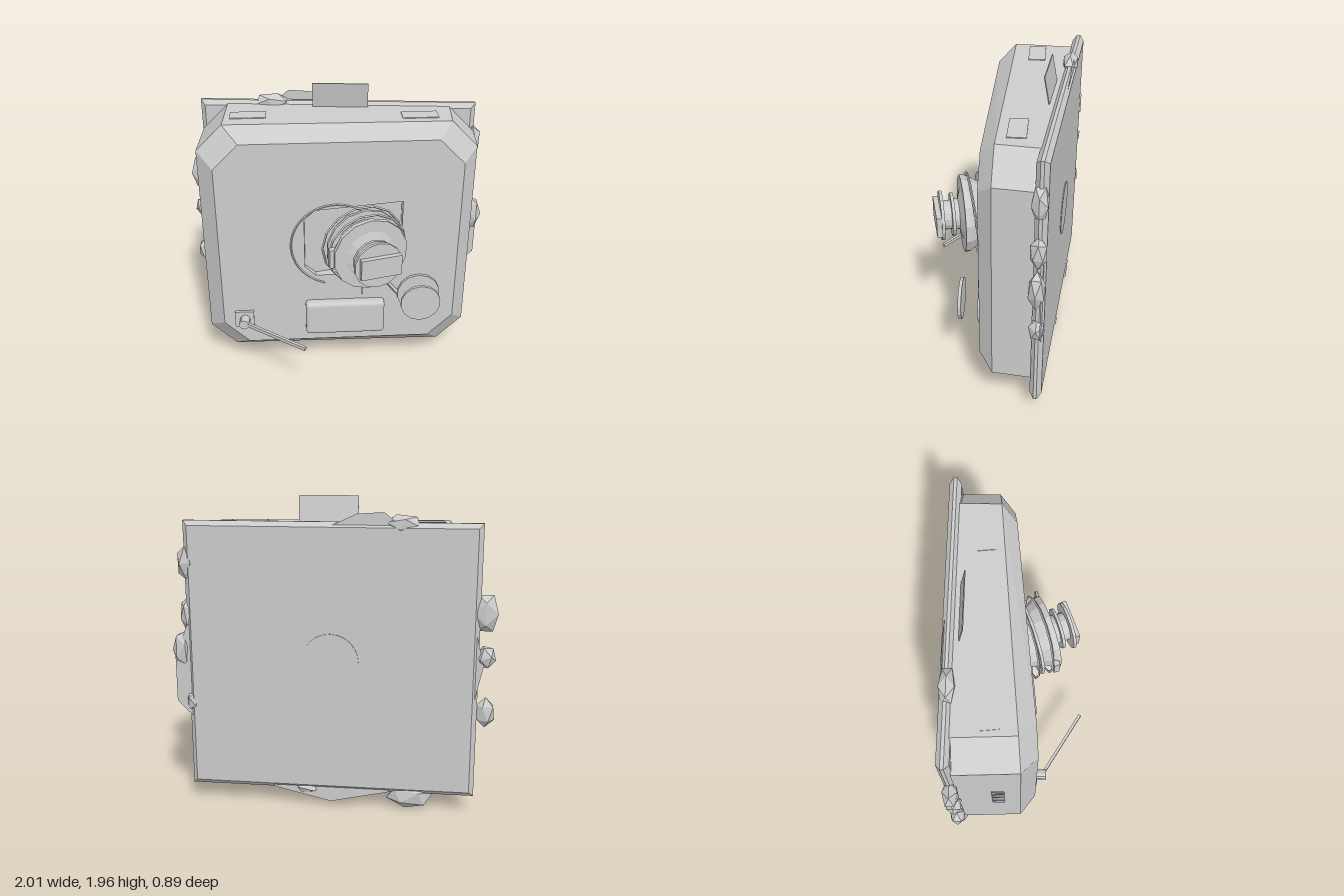
import * as THREE from 'three';
import { RoundedBoxGeometry } from 'three/addons/geometries/RoundedBoxGeometry.js';

export function createModel() {
  const root = new THREE.Group();
  const grey = new THREE.MeshStandardMaterial({ color: 0xcccccc, flatShading: true, side: THREE.DoubleSide });
  grey.name = 'plain grey';
  const add = (name, geo, pos = [0, 0, 0], rot = [0, 0, 0], parent = root) => {
    const m = new THREE.Mesh(geo, grey);
    m.name = name;
    m.position.set(...pos);
    m.rotation.set(...rot);
    parent.add(m);
    return m;
  };
  const V = (x, y, z) => new THREE.Vector3(x, y, z);
  const TILT = 0.1; // turn of the sloping front
  const frontZ = x => 0.12 - 0.1 * (x + 0.76);
  const rimZ = x => 0.02 - 0.085 * (x + 0.87);
  const floorZ = x => 0.04 - 0.34 * (x + 0.2);
  const backZ = () => -0.37;

  // Octagon with cut corners, counter-clockwise from the front
  const octagon = (x0, x1, y0, y1, c) => [
    [x0 + c, y0], [x1 - c, y0], [x1, y0 + c], [x1, y1 - c],
    [x1 - c, y1], [x0 + c, y1], [x0, y1 - c], [x0, y0 + c]];
  // Wall between two matching outlines
  const wall = (a, za, b, zb) => {
    const p = [];
    a.forEach((_, i) => {
      const j = (i + 1) % a.length;
      const A = [...a[i], za(a[i][0])], B = [...a[j], za(a[j][0])];
      const C = [...b[j], zb(b[j][0])], D = [...b[i], zb(b[i][0])];
      p.push(...A, ...B, ...C, ...A, ...C, ...D);
    });
    const g = new THREE.BufferGeometry();
    g.setAttribute('position', new THREE.Float32BufferAttribute(p, 3));
    g.computeVertexNormals();
    return g;
  };
  // Flat panel whose depth follows a rule
  const panel = (outline, zf, hole) => {
    const toV = o => o.map(q => new THREE.Vector2(...q));
    const s = new THREE.Shape(toV(outline));
    if (hole) s.holes.push(new THREE.Path(toV(hole)));
    const g = new THREE.ShapeGeometry(s), p = g.attributes.position;
    for (let i = 0; i < p.count; i++) p.setZ(i, zf(p.getX(i)));
    g.computeVertexNormals();
    return g;
  };

  // Back plate with bevelled edge
  const plate = new THREE.Shape([[-0.87, 0.13], [0.87, 0.13], [0.87, 1.77], [-0.87, 1.77]].map(q => new THREE.Vector2(...q)));
  add('backPlate', new THREE.ExtrudeGeometry(plate, { depth: 0.02, bevelSize: 0.03, bevelThickness: 0.027, bevelSegments: 1 }), [0, 0, -0.41]);
  add('backDisc', new THREE.CylinderGeometry(0.175, 0.175, 0.008, 24), [0, 0.95, -0.439], [Math.PI / 2, 0, 0]);

  // Housing
  const back = octagon(-0.89, 0.9, 0.11, 1.78, 0.17);
  const rim = octagon(-0.875, 0.9, 0.11, 1.78, 0.17);
  const face = octagon(-0.76, 0.82, 0.2, 1.69, 0.165);
  const recess = [[-0.2, 0.8], [-0.13, 0.73], [0.37, 0.73], [0.44, 0.8], [0.44, 1.27], [-0.13, 1.22], [-0.2, 1.15]];
  add('housingSides', wall(back, backZ, rim, rimZ));
  add('housingBevel', wall(rim, rimZ, face, frontZ));
  add('housingFront', panel(face, frontZ, recess));
  add('recessWalls', wall(recess, frontZ, recess, floorZ));
  add('recessFloor', panel(recess, floorZ));

  // Turned knob on a slanting axis
  const knob = new THREE.Group();
  knob.name = 'knob';
  knob.position.set(0.235, 0.98, 0.185);
  knob.rotation.y = 0.35;
  root.add(knob);
  const profile = [[0, -0.24], [0.19, -0.24], [0.2, -0.13], [0.26, -0.13], [0.26, -0.11], [0.2, -0.11], [0.25, -0.02],
    [0.25, 0.01], [0.17, 0.01], [0.1, 0.03], [0.1, 0.06], [0.14, 0.06], [0.14, 0.08], [0.095, 0.08], [0.095, 0.13],
    [0.16, 0.13], [0.16, 0.15], [0, 0.15]].map(q => new THREE.Vector2(...q));
  add('knobBody', new THREE.LatheGeometry(profile, 14), [0, 0, 0], [Math.PI / 2, 0, 0], knob);
  add('knobGrip', new THREE.BoxGeometry(0.27, 0.14, 0.035), [0.01, 0, 0.165], [0, 0, 0], knob);
  add('knobTab', new THREE.BoxGeometry(0.06, 0.13, 0.04), [-0.24, 0, -0.03], [0, 0, 0], knob);
  for (const [r, t] of [[0.275, -0.16], [0.265, -0.06]])
    add('knobHoop', new THREE.TorusGeometry(r, 0.008, 4, 14), [0, 0, t], [0.08, 0, 0], knob);

  // Thin open ring lying on the front
  add('frontRing', new THREE.TorusGeometry(0.3, 0.006, 4, 28, 3.5), [0.01, 0.96, frontZ(0)], [0, TILT, 0.95]);

  // Side dials and their arm
  const dial = (r, z, x) => add('dial', new THREE.CylinderGeometry(r, r, 0.02, 14), [x, 0.57, z], [Math.PI / 2, 0, -TILT]);
  dial(0.145, 0.0, 0.57);
  dial(0.135, 0.125, 0.58);
  const arm = new THREE.CatmullRomCurve3([V(0.26, 0.8, 0.04), V(0.33, 0.7, 0.03), V(0.43, 0.57, 0.01)]);
  add('dialArm', new THREE.TubeGeometry(arm, 6, 0.014, 4));
  add('pin', new THREE.BoxGeometry(0.012, 0.08, 0.02), [0.185, 0.62, 0.04]);

  // Display window
  add('display', new RoundedBoxGeometry(0.54, 0.25, 0.09, 3, 0.025), [0.07, 0.405, 0.055], [0, TILT, 0]);

  // Lever
  add('leverPlate', new THREE.BoxGeometry(0.13, 0.12, 0.02), [-0.62, 0.4, 0.115], [0, TILT, 0]);
  add('leverHub', new THREE.CylinderGeometry(0.035, 0.035, 0.08, 10), [-0.615, 0.4, 0.155], [Math.PI / 2, 0, 0]);
  add('leverRod', new THREE.BoxGeometry(0.51, 0.025, 0.02), [-0.395, 0.4, 0.305], [0, -0.55, 0]);

  // Slots on top, vents on the right side
  for (const [x, z] of [[-0.56, -0.16], [0.53, -0.21]]) {
    add('topSlot', new THREE.BoxGeometry(0.23, 0.008, 0.11), [x, 1.781, z], [0, TILT, 0]);
  }
  for (let i = 0; i < 7; i++)
    add('sideVent', new THREE.BoxGeometry(0.008, 0.022, 0.08), [-0.884, 0.8 + i * 0.053, -0.12]);

  // Leaning tag on the top edge
  add('topTag', new THREE.BoxGeometry(0.36, 0.28, 0.006), [0.02, 1.81, -0.333], [0.19, 0, 0]);

  // Flat crust inside the plate, showing past its edges
  const crust = [[-0.65, 1.6], [-0.32, 1.86], [-0.16, 1.85], [0.6, 1.5], [0.9, 1.15], [0.98, 0.95], [0.98, 0.66], [0.9, 0.58],
    [0.35, 0.1], [0.0, 0.02], [-0.36, 0.1], [-0.88, 0.72], [-0.93, 0.95], [-0.88, 1.15]];
  add('crust', panel(crust, () => -0.425));

  // Faceted lumps around the plate: x, y, half width, half height
  const lumps = [[-0.93, 1.27, 0.08, 0.12], [-0.94, 1.0, 0.06, 0.07], [-0.95, 0.65, 0.06, 0.09],
    [-0.5, 0.075, 0.14, 0.08], [0.15, 0.1, 0.09, 0.035], [-0.43, 1.79, 0.11, 0.055],
    [0.89, 1.54, 0.06, 0.11], [0.9, 1.22, 0.04, 0.1], [0.94, 0.99, 0.06, 0.12], [0.88, 0.66, 0.05, 0.08]];
  lumps.forEach(([x, y, w, h], i) => {
    const g = new THREE.IcosahedronGeometry(1.08, 0);
    g.rotateZ(i * 1.3);
    g.scale(w, h, 0.05);
    add('lump', g, [x, y, -0.395]);
  });
  return root;
}
